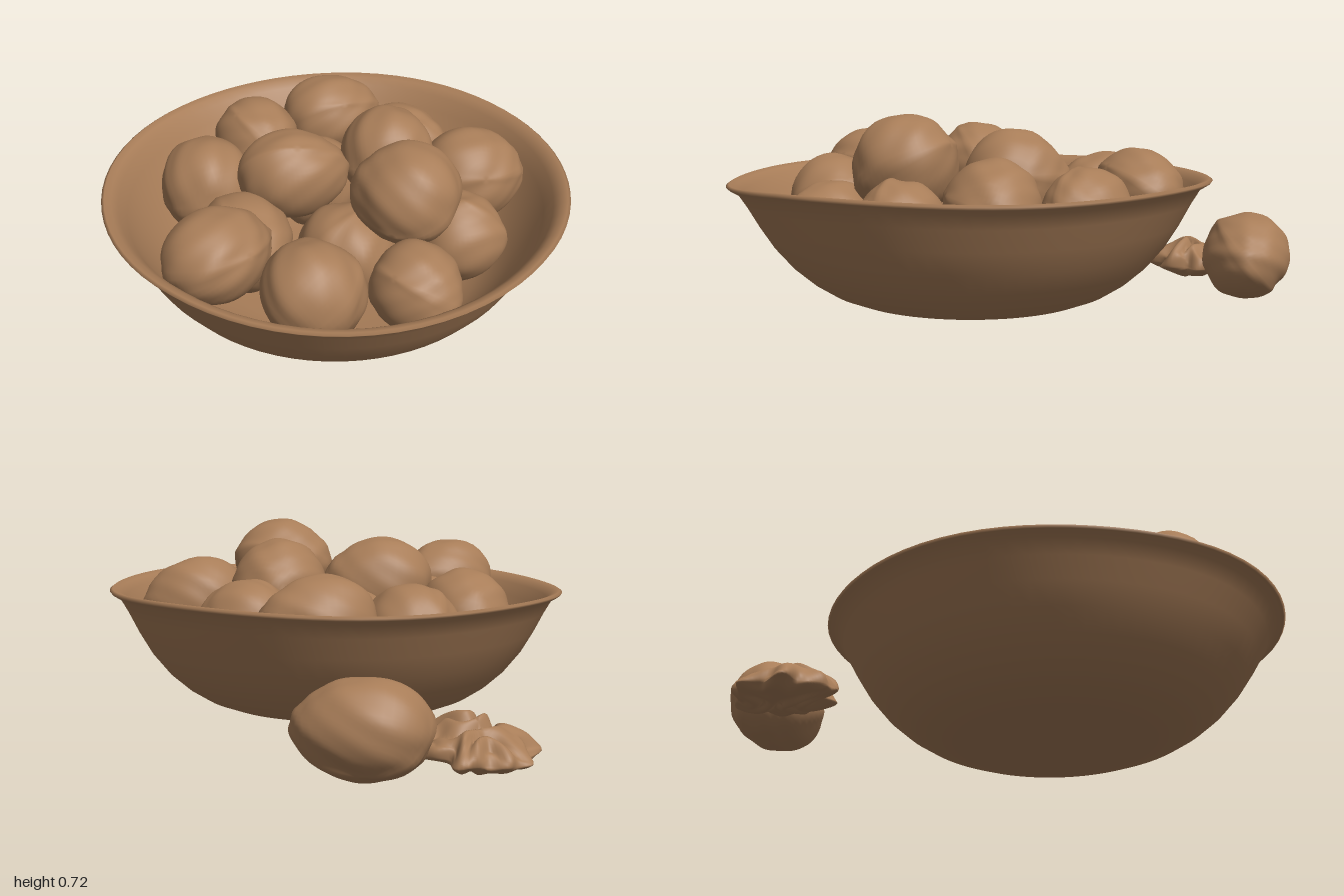
import * as THREE from 'three';
import { mergeVertices } from 'three/addons/utils/BufferGeometryUtils.js';

// Welds a geometry, moves its vertices by a rule and smooths the normals
function reshape(source, rule) {
  source.deleteAttribute('uv');
  source.deleteAttribute('normal');
  const g = mergeVertices(source, 1e-4);
  const p = g.attributes.position;
  const v = new THREE.Vector3();
  for (let i = 0; i < p.count; i++) {
    rule(v.fromBufferAttribute(p, i));
    p.setXYZ(i, v.x, v.y, v.z);
  }
  g.computeVertexNormals();
  return g;
}

// Walnut with a blunt tip along +x, a raised seam in the xy plane and soft dents
function walnutGeometry(len, wid, high, seed) {
  return reshape(new THREE.SphereGeometry(1, 44, 32), (v) => {
    const { x, y, z } = v;
    const seam = 0.03 * Math.exp(-((z / 0.1) ** 2));
    const dents = 0.02 * Math.sin(4 * x + 5 * z + seed * 1.7) * Math.sin(5 * y + seed)
      + 0.016 * Math.sin(9 * z + 5 * x + seed * 2.3) * Math.sin(8 * y - 4 * x + seed);
    const r = 0.995 + seam + dents;
    const taper = 1 - 0.11 * x - 0.06 * Math.max(x, 0) ** 3;
    v.set(x * r * len / 2, y * r * taper * high / 2, z * r * taper * wid / 2);
  });
}

// Shelled kernel: a low lump with a lobed outline and deep winding folds
function kernelGeometry() {
  return reshape(new THREE.SphereGeometry(1, 96, 56), (v) => {
    const { x, y, z } = v;
    const a = Math.atan2(z, x);
    const flat = Math.hypot(x, z);
    // Notches between the lobes, fading towards the middle
    const lobes = 0.10 * Math.sin(6 * a + 1.2 + 0.8 * y) + 0.08 * Math.sin(9 * a + 2.5 * y + 0.4)
      + 0.03 * Math.sin(14 * a + 3);
    const spread = 0.96 + lobes * flat * flat;
    // Rounded ridges with narrow valleys
    const wind = 5.5 * x + 1.7 * Math.sin(4 * z + 0.6) + 1.2 * Math.sin(5 * x - 3 * z);
    const folds = 0.6 + 0.5 * Math.abs(Math.sin(wind)) + 0.12 * Math.sin(6 * z + 3 * x);
    const height = (0.08 + 0.022 * x) * folds;
    v.set(x * spread * 0.18, 0.058 + 0.012 * x + y * (y > 0 ? height * 1.15 : 0.045 * folds),
      z * spread * 0.185);
  });
}

export function createModel() {
  const model = new THREE.Group();
  const brown = new THREE.MeshStandardMaterial({ color: 0xa87d58 });
  brown.name = 'walnut brown';
  const add = (geometry, name) => {
    const mesh = new THREE.Mesh(geometry, brown);
    mesh.name = name;
    model.add(mesh);
    return mesh;
  };

  // Bowl: outer wall, flared rim, inner wall
  const outer = [[0, 0.016], [0.25, 0.016], [0.37, 0.021], [0.45, 0.04], [0.52, 0.068], [0.585, 0.11],
    [0.65, 0.168], [0.708, 0.24], [0.755, 0.32], [0.793, 0.395], [0.822, 0.445], [0.853, 0.464]];
  const inner = [[0.86, 0.473], [0.85, 0.48], [0.825, 0.472], [0.80, 0.45], [0.77, 0.40], [0.728, 0.33],
    [0.67, 0.25], [0.61, 0.18], [0.54, 0.12], [0.46, 0.08], [0.38, 0.06], [0.2, 0.05], [0, 0.05]];
  const profile = [...outer, ...inner].map(([r, y]) => new THREE.Vector2(r, y));
  // Hand-made unevenness, strongest near the rim, with a low bulge at the front left
  const bowl = reshape(new THREE.LatheGeometry(profile, 72), (v) => {
    const a = Math.atan2(v.z, v.x);
    const k = v.y / 0.48;
    const bulge = Math.max(Math.sin(2 * a), 0) * Math.max(Math.cos(a - Math.PI / 4), 0);
    const w = 1 + k * (0.004 * Math.sin(5 * a + 1) + 0.013 * Math.sin(2 * a) + 0.012 * bulge);
    const lift = k * k * (0.006 * Math.cos(a) - 0.011 * Math.sin(a) + 0.005 * Math.sin(4 * a + 2.2)
      - 0.012 * bulge);
    v.set(v.x * w * 0.995, v.y + lift, v.z * w * 1.022);
  });
  add(bowl, 'bowl').position.x = 0.145;

  // Walnuts: x, z, top, length, width, height, tip heading in degrees (0 = +x, 90 = -z), roll
  const nuts = [
    [-0.24, -0.49, 0.58, 0.41, 0.32, 0.32, 60, 0.9],
    [0.10, -0.52, 0.54, 0.37, 0.31, 0.32, 10, 0.3],
    [0.465, -0.435, 0.58, 0.40, 0.36, 0.33, 50, 1.2],
    [-0.385, -0.19, 0.54, 0.38, 0.33, 0.33, -25, 0.6],
    [0.18, -0.275, 0.66, 0.37, 0.36, 0.35, 130, 1.4],
    [0.61, -0.14, 0.51, 0.32, 0.33, 0.33, 20, 0.2],
    [-0.07, -0.17, 0.49, 0.37, 0.35, 0.35, 100, 0.8],
    [0.445, 0.00, 0.72, 0.39, 0.36, 0.37, 200, 1.1],
    [0.01, 0.08, 0.66, 0.41, 0.32, 0.34, 48, 0.5],
    [-0.335, 0.175, 0.54, 0.39, 0.38, 0.35, 140, 1.3],
    [0.30, 0.12, 0.47, 0.37, 0.36, 0.35, 80, 0.2],
    [0.645, 0.20, 0.48, 0.33, 0.32, 0.31, -10, 0.9],
    [0.00, 0.36, 0.49, 0.41, 0.37, 0.34, -30, 0.4],
    [0.39, 0.465, 0.53, 0.37, 0.38, 0.35, 160, 1.0],
    [0.10, 0.60, 0.62, 0.41, 0.32, 0.33, 85, 1.2],
    [-0.635, -0.695, 0.32, 0.44, 0.33, 0.32, 33, 0.7],
  ];
  nuts.forEach(([x, z, top, len, wid, high, heading, roll], i) => {
    const name = i === nuts.length - 1 ? 'looseWalnut' : 'walnut' + (i + 1);
    const nut = add(walnutGeometry(len, wid, high, i + 1), name);
    nut.position.set(x, top - high / 2, z);
    nut.rotation.set(roll, THREE.MathUtils.degToRad(heading), 0, 'YZX');
  });

  add(kernelGeometry(), 'kernel').position.set(-0.815, 0, -0.35);
  return model;
}
